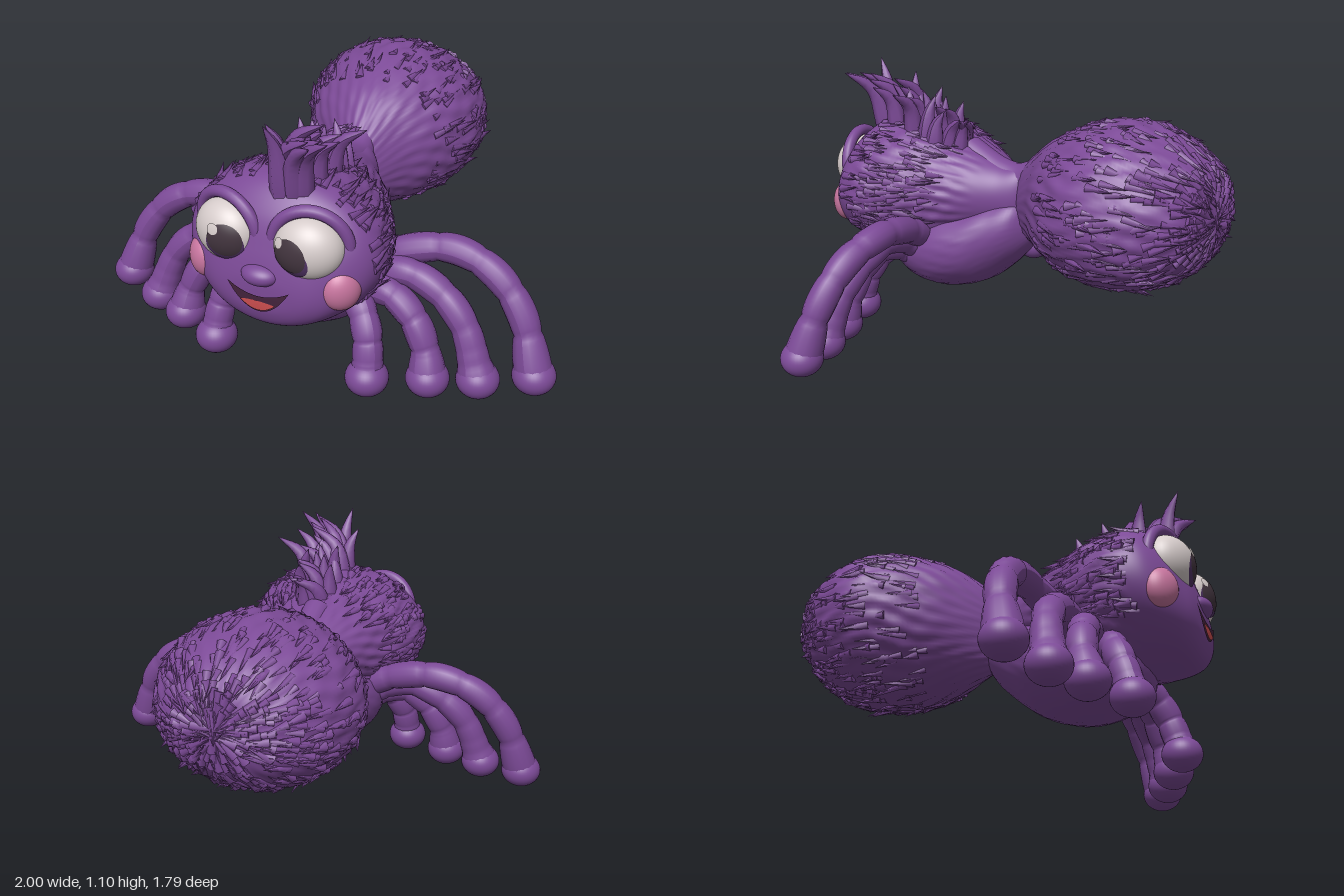
import * as THREE from 'three';
import { mergeGeometries } from 'three/addons/utils/BufferGeometryUtils.js';

const mat = (name, color, side = THREE.FrontSide) => {
  const m = new THREE.MeshStandardMaterial({ color, side });
  m.name = name;
  return m;
};
const V = (x, y, z) => new THREE.Vector3(x, y, z);

let seed = 7;
const rnd = () => (seed = (seed * 16807) % 2147483647) / 2147483647;
const spread = (s) => (rnd() - 0.5) * 2 * s;

// Cross-sections from front to back: [z, centre x, top y, bottom y, half width]
const HEAD = [
  [0.875, 0, 0.5, 0.44, 0.0], [0.868, 0, 0.55, 0.39, 0.14], [0.845, 0, 0.64, 0.34, 0.225],
  [0.8, 0, 0.76, 0.31, 0.305], [0.72, 0, 0.85, 0.3, 0.375], [0.62, 0, 0.88, 0.3, 0.395],
  [0.48, 0, 0.86, 0.32, 0.36], [0.35, 0, 0.82, 0.36, 0.29], [0.22, 0, 0.775, 0.42, 0.215],
  [0.1, 0, 0.735, 0.46, 0.13], [0.0, -0.01, 0.73, 0.48, 0.08], [-0.06, -0.02, 0.66, 0.6, 0.0]];
const THORAX = [
  [0.66, 0, 0.36, 0.34, 0.0], [0.62, 0, 0.46, 0.22, 0.16], [0.5, 0, 0.5, 0.16, 0.25],
  [0.35, 0, 0.55, 0.145, 0.28], [0.2, 0, 0.57, 0.19, 0.25], [0.1, 0, 0.6, 0.26, 0.19],
  [0.0, 0, 0.6, 0.36, 0.12], [-0.06, 0, 0.5, 0.46, 0.0]];
const ABDOMEN = [
  [0.07, -0.01, 0.6, 0.52, 0.0], [0.02, -0.02, 0.73, 0.44, 0.07], [-0.1, -0.04, 0.85, 0.385, 0.19],
  [-0.2, -0.045, 0.915, 0.355, 0.285], [-0.35, -0.05, 0.975, 0.325, 0.375], [-0.5, -0.055, 0.99, 0.325, 0.4],
  [-0.65, -0.05, 0.955, 0.36, 0.36], [-0.77, -0.045, 0.89, 0.44, 0.275], [-0.84, -0.035, 0.81, 0.53, 0.17],
  [-0.87, -0.03, 0.68, 0.66, 0.0]];

// Smoothly interpolated cross-section at t in 0..1
function section(secs, t) {
  const n = secs.length - 1, f = Math.min(t * n, n - 1e-6), i = Math.floor(f), u = f - i;
  const at = (k) => secs[Math.max(0, Math.min(n, k))];
  return secs[0].map((_, c) => {
    const [a, b, d, e] = [at(i - 1)[c], at(i)[c], at(i + 1)[c], at(i + 2)[c]];
    return b + 0.5 * u * (d - a + u * (2 * a - 5 * b + 4 * d - e + u * (3 * (b - d) + e - a)));
  });
}
function surfacePoint(secs, t, a, bump = () => 0) {
  const [z, cx, top, bot, rx] = section(secs, t);
  const k = 1 + bump(a, z);
  return V(cx + Math.cos(a) * rx * k, (top + bot) / 2 + Math.sin(a) * (top - bot) / 2 * k, z);
}
function loft(secs, bump, rows = 90, cols = 120) {
  const pos = [], idx = [];
  for (let i = 0; i <= rows; i++)
    for (let j = 0; j < cols; j++)
      pos.push(...surfacePoint(secs, i / rows, (j / cols) * Math.PI * 2, bump));
  for (let i = 0; i < rows; i++)
    for (let j = 0; j < cols; j++) {
      const a = i * cols + j, b = i * cols + (j + 1) % cols;
      idx.push(a, a + cols, b, b, a + cols, b + cols);
    }
  const g = new THREE.BufferGeometry();
  g.setAttribute('position', new THREE.Float32BufferAttribute(pos, 3));
  g.setIndex(idx);
  g.computeVertexNormals();
  return g;
}
// Combed-fur ridges running along the body
const ridges = (amp) => (a, z) => amp * (Math.sin(a * 29 + 3 * Math.sin(z * 13 + a * 2))
  + 0.8 * Math.sin(a * 13 + z * 34) * Math.sin(z * 21 + a * 5));

// Tube whose radius follows a rule along its length
function shapedTube(points, radius, rule, segs = 40, sides = 16) {
  const path = new THREE.CatmullRomCurve3(points);
  const g = new THREE.TubeGeometry(path, segs, radius, sides);
  const p = g.attributes.position, v = V(0, 0, 0);
  for (let i = 0; i < p.count; i++) {
    const t = Math.floor(i / (sides + 1)) / segs, c = path.getPointAt(t);
    v.fromBufferAttribute(p, i).sub(c).multiplyScalar(rule(t)).add(c);
    p.setXYZ(i, v.x, v.y, v.z);
  }
  g.computeVertexNormals();
  return g;
}

// Loose locks of fur lying back along a surface
function furLocks(secs, count, t0, t1, lift, allowed = () => true) {
  const parts = [];
  while (parts.length < count) {
    const t = t0 + rnd() * (t1 - t0), a = rnd() * Math.PI * 2;
    const p = surfacePoint(secs, t, a);
    if (!allowed(p)) continue;
    const [, cx, top, bot] = section(secs, t);
    const out = V(p.x - cx, p.y - (top + bot) / 2, 0).normalize();
    const back = surfacePoint(secs, Math.min(1, t + 0.02), a).sub(p).normalize();
    const dir = back.addScaledVector(out, lift + rnd() * 0.15).add(V(spread(0.2), spread(0.2), 0)).normalize();
    const len = 0.07 + rnd() * 0.07;
    const g = new THREE.ConeGeometry(0.014 + rnd() * 0.008, len, 6);
    g.applyQuaternion(new THREE.Quaternion().setFromUnitVectors(V(0, 1, 0), dir));
    p.addScaledVector(dir, len * 0.3).addScaledVector(out, -0.008);
    g.translate(p.x, p.y, p.z);
    parts.push(g);
  }
  return mergeGeometries(parts);
}

// Front depth of the face at x, y
function faceZ(x, y) {
  let lo = 0, hi = 0.5;
  for (let k = 0; k < 30; k++) {
    const m = (lo + hi) / 2, [, cx, top, bot, rx] = section(HEAD, m), h = (top - bot) / 2;
    const inside = ((x - cx) / (rx + 1e-6)) ** 2 + ((y - (top + bot) / 2) / (h + 1e-6)) ** 2 < 1;
    if (inside) hi = m; else lo = m;
  }
  return section(HEAD, hi)[0];
}
// Thin patch on the face between a lower and an upper curve
function facePatch(half, lower, upper, lift) {
  const g = new THREE.PlaneGeometry(2, 1, 24, 8), p = g.attributes.position;
  for (let i = 0; i < p.count; i++) {
    const u = p.getX(i), v = p.getY(i) + 0.5, x = u * half;
    const y = lower(u) + (upper(u) - lower(u)) * v;
    p.setXYZ(i, x, y, faceZ(x, y) + lift);
  }
  g.computeVertexNormals();
  return g;
}

export function createModel() {
  const group = new THREE.Group();
  const fur = mat('purple fur', 0x7c4a97);
  const white = mat('eye white', 0xd6cccb);
  const dark = mat('pupil dark', 0x43353f);
  const iris = mat('iris purple', 0x523467);
  const pink = mat('cheek pink', 0xc8759f);
  const red = mat('tongue red', 0xcf4f50);
  const maroon = mat('mouth dark', 0x43233c, THREE.DoubleSide);
  const add = (name, g, m, parent = group) => {
    const o = new THREE.Mesh(g, m);
    o.name = name;
    parent.add(o);
    return o;
  };
  const ball = (name, m, pos, scale, parent) => {
    const o = add(name, new THREE.SphereGeometry(1, 36, 24), m, parent);
    o.position.set(...pos);
    o.scale.set(...scale);
    return o;
  };

  // Body masses
  const headFur = ridges(0.02);
  add('head', loft(HEAD, (a, z) => z > 0.68 || z < 0.15 ? 0 : headFur(a, z) * Math.min(1, (0.68 - z) * 8, (z - 0.15) * 8)), fur);
  add('thorax', loft(THORAX, ridges(0.006), 50, 64), fur);
  add('abdomen', loft(ABDOMEN, ridges(0.013)), fur);
  add('abdomenFur', furLocks(ABDOMEN, 620, 0.36, 0.95, 0.02), fur);
  add('headFur', furLocks(HEAD, 300, 0.4, 0.66, 0.04, (p) => p.y > 0.42), fur);
  add('neckRidge', shapedTube([V(0, 0.76, 0.3), V(0, 0.69, 0.13), V(-0.01, 0.68, 0.03), V(-0.03, 0.74, -0.1)], 0.065, () => 1), fur);

  // Hair tuft: curved locks fanning forwards, sideways and back
  const locks = [];
  for (let i = 0; i < 30; i++) {
    const t = i / 29, z = 0.72 - 0.4 * t, base = 0.86 - 0.08 * t * t;
    const h = 0.22 - 0.09 * t + spread(0.03), x = 0.04 + spread(0.08);
    const side = 0.06 + spread(0.11), lean = 0.11 - 0.2 * t + spread(0.03);
    locks.push(shapedTube([V(x, base - 0.05, z), V(x + side * 0.25, base + h * 0.6, z + lean * 0.4),
      V(x + side, base + h, z + lean)], 0.042, (s) => 1.02 - s * s, 10, 7));
  }
  add('hairTuft', mergeGeometries(locks), fur);

  // Face: nose, mouth and tongue
  ball('nose', fur, [0, 0.545, 0.85], [0.075, 0.042, 0.055]);
  const mouthTop = (u) => 0.468 + 0.037 * u * u;
  add('mouth', facePatch(0.128, (u) => 0.402 + 0.103 * u * u, mouthTop, 0.005), maroon);
  add('tongue', facePatch(0.072, (u) => 0.41 + 0.033 * u * u, (u) => 0.45 - 0.007 * u * u, 0.009), red);

  for (const s of [1, -1]) {
    const side = s > 0 ? 'left' : 'right';

    // Eye with a domed pupil, lower iris and a glint
    const eye = new THREE.Group();
    eye.name = side + 'Eye';
    eye.position.set(s * 0.168, 0.662, 0.782);
    eye.rotation.y = s * 0.15;
    eye.scale.set(0.133, 0.122, 0.1);
    group.add(eye);
    add('eyeball', new THREE.SphereGeometry(1, 40, 28), white, eye);
    const cap = (name, m, r, angle, yaw, pitch) => {
      const g = new THREE.SphereGeometry(r, 32, 10, 0, Math.PI * 2, 0, angle);
      add(name, g.rotateX(Math.PI / 2 + pitch).rotateY(yaw), m, eye);
    };
    const yaw = s * -0.42;
    cap('iris', iris, 1.015, 0.6, yaw, 0.2);
    cap('pupil', dark, 1.03, 0.55, yaw, 0.02);
    cap('glint', white, 1.05, 0.17, yaw - 0.36, -0.32);
    const rim = add(side + 'EyeRim', new THREE.TorusGeometry(0.141, 0.024, 14, 48), fur);
    rim.position.set(s * 0.168, 0.667, 0.772);
    rim.rotation.set(0.1, s * 0.25, 0);

    // Cheek
    const cheek = ball(side + 'Cheek', pink, [s * 0.285, 0.515, 0.772], [0.076, 0.084, 0.058]);
    cheek.rotation.y = s * 0.7;

    // Legs, outermost first: path points and foot position
    const legs = [
      [V(0.18, 0.4, 0.4), V(0.36, 0.485, 0.36), V(0.55, 0.515, 0.33), V(0.72, 0.455, 0.34), V(0.84, 0.32, 0.365), V(0.915, 0.1, 0.41)],
      [V(0.16, 0.34, 0.42), V(0.38, 0.43, 0.43), V(0.52, 0.39, 0.435), V(0.64, 0.28, 0.455), V(0.72, 0.075, 0.49)],
      [V(0.15, 0.3, 0.46), V(0.34, 0.37, 0.5), V(0.45, 0.31, 0.52), V(0.52, 0.19, 0.54), V(0.545, 0.075, 0.565)],
      [V(0.14, 0.3, 0.5), V(0.25, 0.33, 0.56), V(0.31, 0.25, 0.61), V(0.33, 0.16, 0.64), V(0.335, 0.075, 0.66)]];
    legs.forEach((pts, i) => {
      const path = pts.map((p) => V(p.x * s, p.y, p.z)), foot = path[path.length - 1];
      const joints = 6 - i * 0.5;
      const leg = new THREE.Group();
      leg.name = `${side}Leg${i + 1}`;
      group.add(leg);
      const bulge = (t) => 0.93 + 0.12 * Math.sqrt(Math.abs(Math.sin(t * Math.PI * joints))) + 0.35 * Math.max(0, t * 6 - 5);
      add('legSegments', shapedTube(path, 0.057, bulge, 60), fur, leg);
      ball('foot', fur, [foot.x, foot.y, foot.z], [0.085, 0.073, 0.085], leg);
    });
  }
  return group;
}
